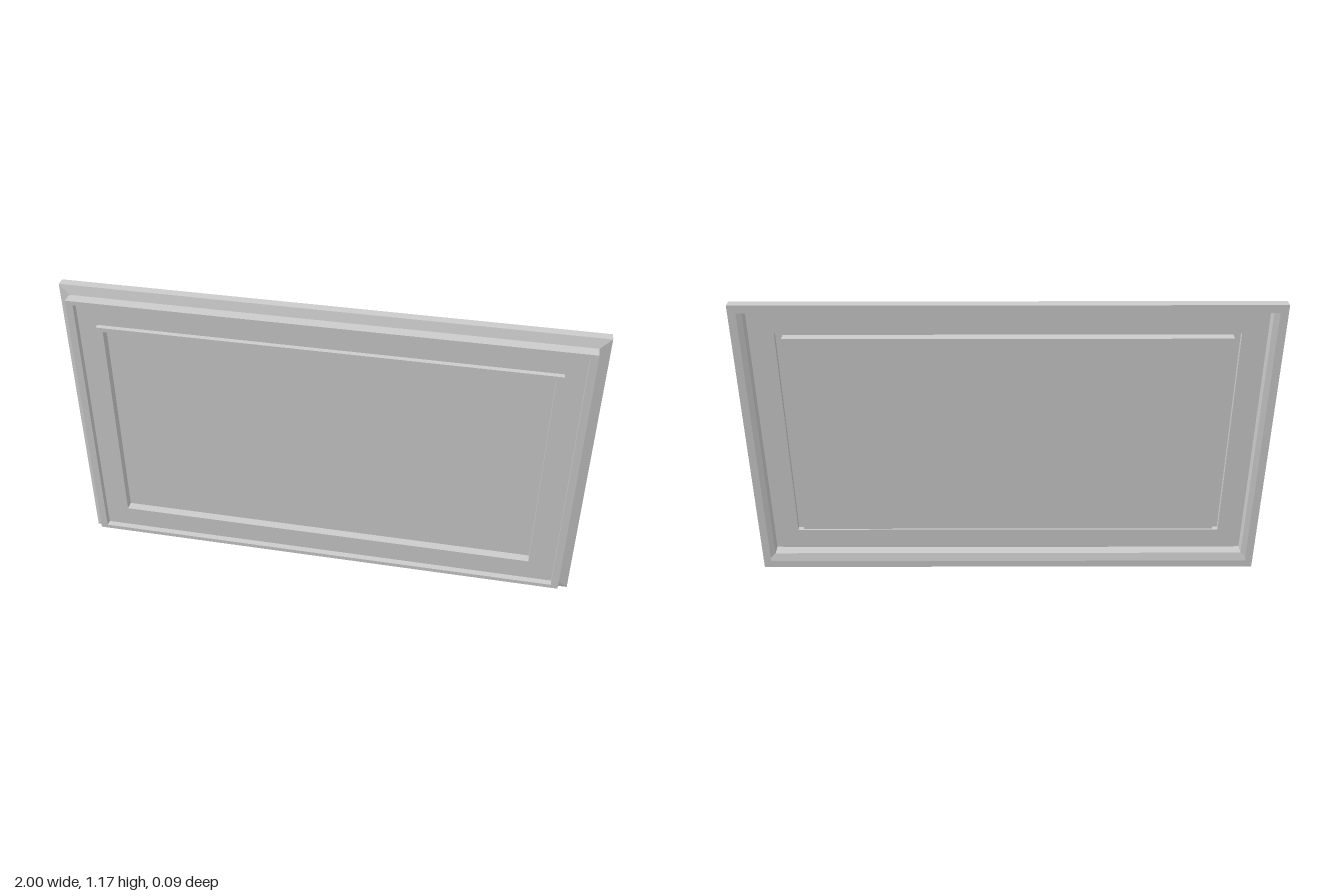
import * as THREE from 'three';

const W = 1, H = 0.587; // half width and half height

const material = new THREE.MeshStandardMaterial({
  color: 0xcccccc, flatShading: true, side: THREE.DoubleSide,
});

// Corners of a rectangle inset from the outer edge, counter-clockwise from the front
function corners([insetX, insetY, z]) {
  const x = W - insetX, y = H - insetY;
  return [[-x, H - y, z], [x, H - y, z], [x, H + y, z], [-x, H + y, z]];
}

// Folded sheet running round the frame; profile points are [insetX, insetY, z]
function moulding(name, profile) {
  const pos = [];
  for (let i = 0; i < profile.length - 1; i++) {
    const a = corners(profile[i]), b = corners(profile[i + 1]);
    for (let j = 0; j < 4; j++) {
      const k = (j + 1) % 4;
      pos.push(...a[j], ...a[k], ...b[k], ...a[j], ...b[k], ...b[j]);
    }
  }
  const geo = new THREE.BufferGeometry();
  geo.setAttribute('position', new THREE.Float32BufferAttribute(pos, 3));
  geo.computeVertexNormals();
  const mesh = new THREE.Mesh(geo, material);
  mesh.name = name;
  return mesh;
}

export function createModel() {
  const group = new THREE.Group();
  group.name = 'panelledFrame';

  // Back lip, outer edge and sloping shoulder
  group.add(moulding('outerFrame', [
    [0.03, 0.03, -0.045], [0, 0, -0.045], [0, 0, -0.01], [0.04, 0.036, 0],
  ]));

  // Raised rim standing forward of the shoulder
  group.add(moulding('raisedRim', [
    [0.04, 0.036, 0], [0.04, 0.036, 0.045], [0.068, 0.052, 0.045], [0.068, 0.052, 0.02],
  ]));

  // Flat border between rim and inner bead
  group.add(moulding('border', [[0.068, 0.052, 0.02], [0.142, 0.141, 0.02]]));

  // Inner bead, hollow from behind
  group.add(moulding('innerBead', [
    [0.142, 0.141, 0.02], [0.142, 0.141, 0.04], [0.169, 0.157, 0.04], [0.169, 0.157, 0.005],
  ]));

  // Recessed centre panel
  const panel = new THREE.Mesh(
    new THREE.PlaneGeometry(2 * (W - 0.169), 2 * (H - 0.157)), material);
  panel.name = 'centrePanel';
  panel.position.set(0, H, 0.005);
  group.add(panel);

  return group;
}
